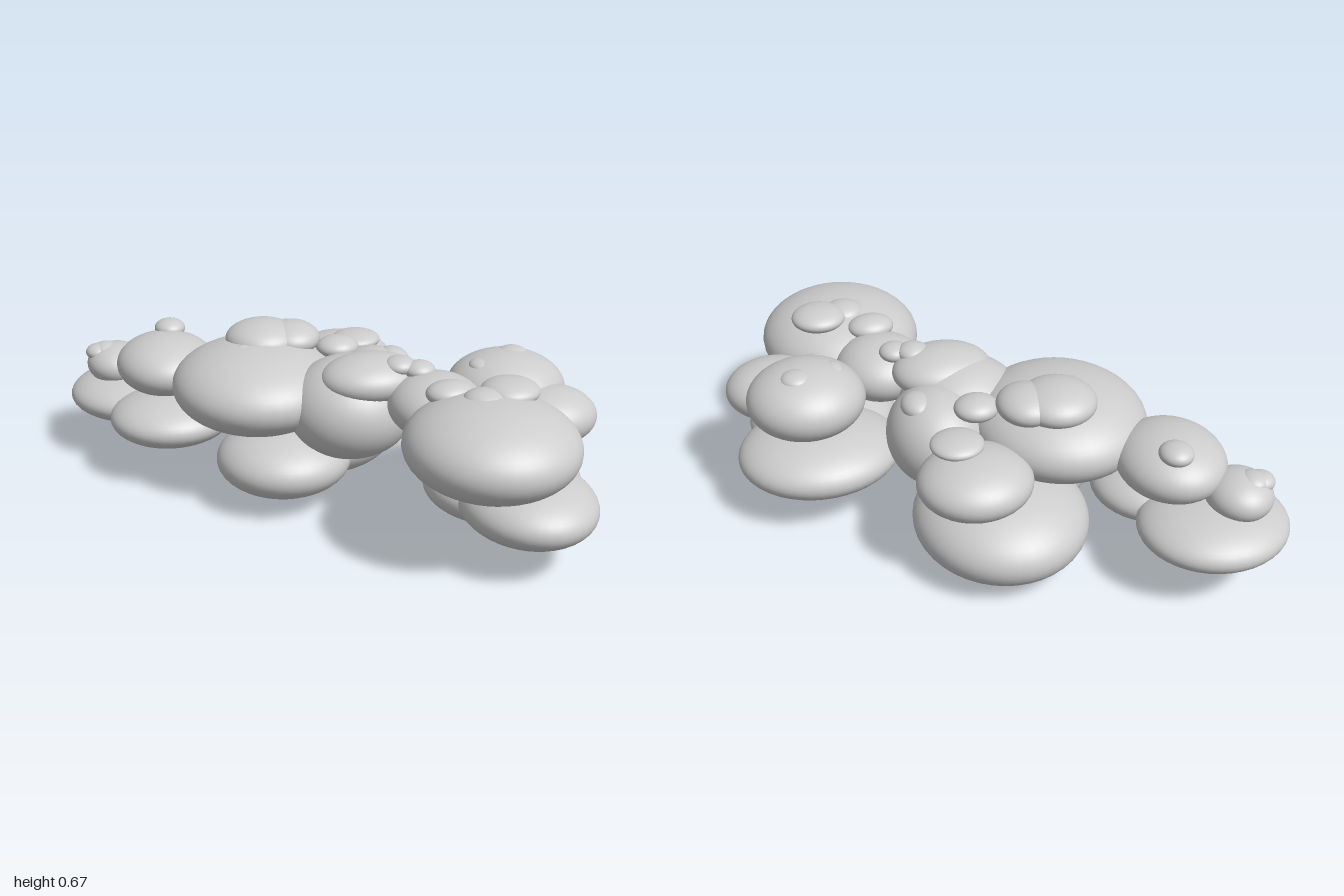
import * as THREE from 'three';

// Each puff: centre x, y, z, then radii x, y, z
const lowerPuffs = [
  [-0.648, 0.255, -0.735, 0.283, 0.105, 0.265],
  [-0.56, 0.255, -0.42, 0.25, 0.105, 0.24],
  [-0.185, 0.19, -0.04, 0.265, 0.135, 0.265],
  [0.04, 0.18, -0.355, 0.33, 0.175, 0.36],
  [0.605, 0.245, 0.19, 0.32, 0.125, 0.285],
  [0.53, 0.225, 0.46, 0.3, 0.13, 0.28],
  [0.535, 0.24, 0.68, 0.25, 0.125, 0.292],
];
const upperPuffs = [
  [-0.55, 0.435, -0.55, 0.203, 0.12, 0.23],
  [-0.73, 0.38, -0.755, 0.123, 0.085, 0.135],
  [-0.25, 0.45, -0.19, 0.335, 0.17, 0.355],
  [0.06, 0.42, 0.06, 0.25, 0.2, 0.24],
  [0.2, 0.4, -0.07, 0.19, 0.19, 0.23],
  [0.165, 0.42, -0.43, 0.215, 0.11, 0.205],
  [0.31, 0.5, 0.32, 0.18, 0.12, 0.19],
  [0.393, 0.475, 0.66, 0.318, 0.17, 0.333],
  [0.64, 0.49, 0.2, 0.23, 0.14, 0.222],
  [0.73, 0.44, 0.395, 0.19, 0.11, 0.17],
];
const crownPuffs = [
  [-0.2, 0.6, -0.29, 0.15, 0.075, 0.15],
  [-0.09, 0.6, -0.27, 0.115, 0.065, 0.125],
  [0.115, 0.56, 0.13, 0.195, 0.09, 0.155],
  [0.205, 0.535, -0.345, 0.1, 0.035, 0.097],
  [0.08, 0.57, -0.19, 0.085, 0.045, 0.08],
  [0.27, 0.545, -0.07, 0.065, 0.045, 0.08],
  [-0.51, 0.545, -0.665, 0.063, 0.038, 0.068],
  [-0.77, 0.435, -0.77, 0.055, 0.035, 0.06],
  [-0.8, 0.43, -0.77, 0.055, 0.035, 0.055],
  [-0.3, 0.59, -0.18, 0.05, 0.03, 0.04],
  [0.21, 0.62, 0.19, 0.062, 0.035, 0.062],
  [0.275, 0.61, 0.23, 0.06, 0.035, 0.06],
  [0.31, 0.605, 0.46, 0.092, 0.045, 0.075],
  [0.5, 0.63, 0.555, 0.108, 0.045, 0.105],
  [0.39, 0.62, 0.59, 0.08, 0.04, 0.08],
  [0.53, 0.59, 0.21, 0.045, 0.025, 0.055],
  [0.68, 0.605, 0.16, 0.06, 0.03, 0.06],
  [0.57, 0.55, 0.36, 0.045, 0.03, 0.03],
];

export function createModel() {
  const model = new THREE.Group();
  model.name = 'cloud';
  const cloudGrey = new THREE.MeshStandardMaterial({ color: 0xcccccc });
  cloudGrey.name = 'cloud grey';
  const sphere = new THREE.SphereGeometry(1, 40, 28);

  // Layers of flattened puffs, from the flat base up to the small crown bumps
  const addLayer = (name, puffs) => {
    const layer = new THREE.Group();
    layer.name = name;
    puffs.forEach(([x, y, z, rx, ry, rz], i) => {
      const puff = new THREE.Mesh(sphere, cloudGrey);
      puff.name = `${name}Puff${i + 1}`;
      puff.position.set(x, y, z);
      puff.scale.set(rx, ry, rz);
      layer.add(puff);
    });
    model.add(layer);
  };
  addLayer('lower', lowerPuffs);
  addLayer('upper', upperPuffs);
  addLayer('crown', crownPuffs);
  return model;
}
